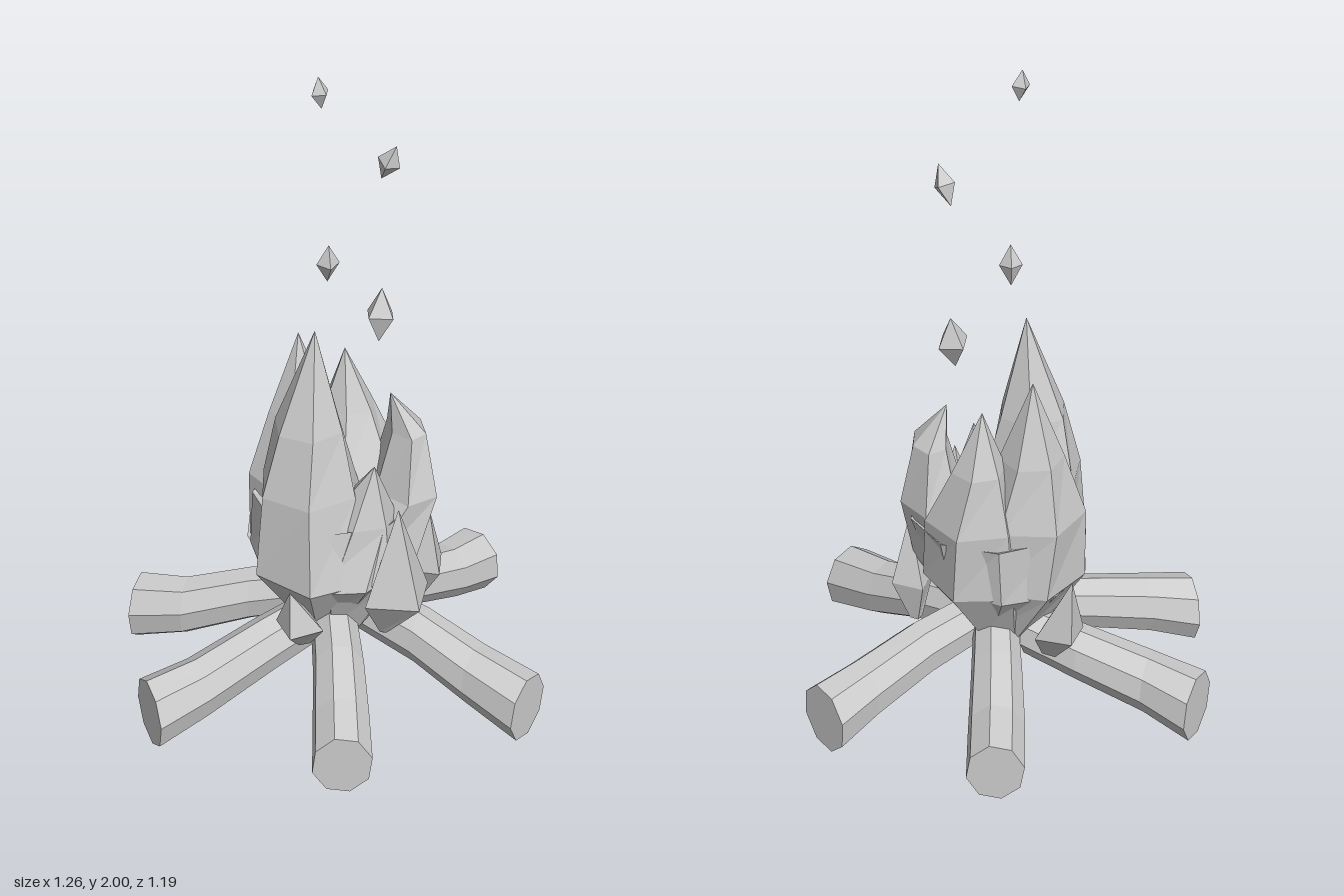
import * as THREE from 'three';

const V = (p) => new THREE.Vector3(...p);
const X = V([1, 0, 0]), Y = V([0, 1, 0]), Z = V([0, 0, 1]);
const material = new THREE.MeshStandardMaterial({ color: 0xcccccc, flatShading: true });

// Faceted skin over a list of rings of points; a ring collapsed to one point closes an end.
function loft(rings) {
  const pos = [];
  const tri = (a, b, c) => {
    if (a.distanceTo(b) < 1e-5 || b.distanceTo(c) < 1e-5 || a.distanceTo(c) < 1e-5) return;
    for (const p of [a, b, c]) pos.push(p.x, p.y, p.z);
  };
  for (let i = 0; i < rings.length - 1; i++) {
    const lo = rings[i], hi = rings[i + 1], n = lo.length;
    for (let j = 0; j < n; j++) {
      const k = (j + 1) % n;
      tri(lo[j], lo[k], hi[k]);
      tri(lo[j], hi[k], hi[j]);
    }
  }
  const g = new THREE.BufferGeometry();
  g.setAttribute('position', new THREE.Float32BufferAttribute(pos, 3));
  g.computeVertexNormals();
  return g;
}

// Ring of n points around a centre, spanned by two axes.
function ring(center, axisA, axisB, ra, rb, n, phase) {
  return Array.from({ length: n }, (_, j) => {
    const t = phase + (j / n) * Math.PI * 2;
    return center.clone().addScaledVector(axisA, Math.cos(t) * ra).addScaledVector(axisB, Math.sin(t) * rb);
  });
}

function addMesh(parent, name, geometry) {
  const mesh = new THREE.Mesh(geometry, material);
  mesh.name = name;
  parent.add(mesh);
  return mesh;
}

// Log: bent eight-sided beam through points running from the middle outwards.
function logGeometry(points, endRadius, phase) {
  const path = points.map(V);
  const radii = [0.075, 0.082, 0.09, endRadius];
  const rings = path.map((p, i) => {
    const d = path[Math.min(i + 1, 3)].clone().sub(path[Math.max(i - 1, 0)]).setY(0).normalize();
    const side = Y.clone().cross(d);
    return ring(p, side, Y, radii[i] * 0.95, radii[i] * 1.08, 8, phase);
  });
  rings.unshift(Array(8).fill(path[0]));
  rings.push(Array(8).fill(path[3]));
  return loft(rings);
}

// Flame: stations are [x, y, z, radiusX, radiusZ], ending in a single point.
function flameGeometry(stations, tip, sides, phase) {
  const rings = stations.map(([x, y, z, rx, rz = rx], i) =>
    ring(V([x, y, z]), Z, X, rz, rx, sides, phase + i * 0.12));
  const [x, y, z] = stations[0];
  rings.unshift(Array(sides).fill(V([x, y - 0.01, z])));
  rings.push(Array(sides).fill(V(tip)));
  return loft(rings);
}

export function createModel() {
  const model = new THREE.Group();
  model.name = 'campfire';

  // Logs leaning together under the fire: end height, end radius, turn, then [x, z] outwards
  const logs = new THREE.Group();
  logs.name = 'logs';
  model.add(logs);
  [
    [0.14, 0.09, 0.2, [[0.05, -0.09], [0.07, -0.25], [0.095, -0.43], [0.12, -0.59]]],
    [0.125, 0.104, 0.3, [[0.1, -0.01], [0.28, -0.09], [0.46, -0.18], [0.587, -0.26]]],
    [0.117, 0.102, 0.15, [[0.09, 0.03], [0.23, 0.19], [0.35, 0.34], [0.46, 0.487]]],
    [0.12, 0.094, 0.25, [[-0.02, 0.1], [-0.06, 0.27], [-0.105, 0.43], [-0.145, 0.565]]],
    [0.117, 0.104, 0.1, [[-0.07, 0.05], [-0.24, 0.09], [-0.46, 0.145], [-0.615, 0.165]]],
    [0.125, 0.104, 0.2, [[-0.05, -0.09], [-0.2, -0.175], [-0.39, -0.26], [-0.52, -0.355]]],
  ].forEach(([endY, endRadius, phase, xz], i) => {
    const heights = [0.27, 0.225, 0.16, endY];
    const points = xz.map(([x, z], k) => [x, heights[k], z]);
    addMesh(logs, `log${i + 1}`, logGeometry(points, endRadius, phase));
  });

  // Rounded heart of the fire, hollowed on top, that the tongues grow from
  const flames = new THREE.Group();
  flames.name = 'flames';
  model.add(flames);
  addMesh(flames, 'flameHeart', flameGeometry(
    [[0.02, 0.28, 0, 0.11], [0.0, 0.47, 0.0, 0.24, 0.255], [0.035, 0.66, -0.02, 0.26, 0.24]],
    [0.1, 0.52, 0.02], 9, 0));

  // Large overlapping tongues of flame
  const tongues = [
    ['tallFlame', [-0.06, 1.255, 0.05], 0.5,
      [[-0.03, 0.27, 0.03, 0.09], [-0.055, 0.48, 0.06, 0.2], [-0.08, 0.75, 0.05, 0.155], [-0.08, 0.95, 0.05, 0.105]]],
    ['backFlame', [-0.05, 1.146, -0.143], 0.1,
      [[0, 0.28, -0.05, 0.1], [-0.04, 0.48, -0.08, 0.18], [-0.05, 0.7, -0.1, 0.165], [-0.05, 0.9, -0.13, 0.095]]],
    ['backLeftFlame', [0.095, 1.067, -0.15], 0.3,
      [[0.03, 0.28, -0.05, 0.1], [0.09, 0.48, -0.08, 0.175], [0.11, 0.7, -0.11, 0.15], [0.105, 0.88, -0.145, 0.08]]],
    ['leftFlame', [0.175, 1.0, 0.03], 0.45,
      [[0.05, 0.27, 0.02, 0.09], [0.12, 0.48, 0.04, 0.16], [0.22, 0.69, 0.04, 0.1, 0.14], [0.225, 0.88, 0.035, 0.055, 0.085]]],
    ['frontFlame', [0.08, 0.85, 0.17], 0.2,
      [[0.03, 0.27, 0.06, 0.09], [0.05, 0.48, 0.09, 0.17], [0.06, 0.66, 0.125, 0.1]]],
  ];
  for (const [name, tip, phase, stations] of tongues) {
    addMesh(flames, name, flameGeometry(stations, tip, 6, phase));
  }

  // Small flames licking out around the foot of the fire
  const licks = [
    ['frontLick', [0.13, 0.735, 0.24], 0.2, [[0.11, 0.27, 0.19, 0.015], [0.13, 0.43, 0.24, 0.115, 0.1]]],
    ['leftLick', [0.29, 0.6, 0.07], 0.2, [[0.28, 0.26, 0.03, 0.02], [0.285, 0.39, 0.055, 0.07, 0.08]]],
    ['backLick', [-0.14, 0.585, -0.325], 0.2, [[-0.1, 0.27, -0.22, 0.03], [-0.112, 0.38, -0.28, 0.08, 0.07]]],
    ['rightLick', [-0.19, 0.49, 0.21], -0.8, [[-0.13, 0.25, 0.14, 0.025], [-0.155, 0.35, 0.19, 0.075]]],
  ];
  for (const [name, tip, phase, stations] of licks) {
    addMesh(flames, name, flameGeometry(stations, tip, 4, phase));
  }

  // Sparks rising above: position, half width, half height, lean
  const sparks = new THREE.Group();
  sparks.name = 'sparks';
  model.add(sparks);
  [
    [[0.16, 1.23, -0.025], 0.05, 0.082, -0.1],
    [[-0.01, 1.44, 0.015], 0.033, 0.06, 0.08],
    [[0.175, 1.705, -0.015], 0.034, 0.06, 0.3],
    [[-0.04, 1.956, 0.04], 0.028, 0.045, -0.1],
  ].forEach(([p, w, h, lean], i) => {
    const spark = addMesh(sparks, `spark${i + 1}`, new THREE.OctahedronGeometry(1, 0));
    spark.scale.set(w, h, w);
    spark.position.set(...p);
    spark.rotation.set(lean * 0.6, 0.5 + i, lean);
  });

  return model;
}
